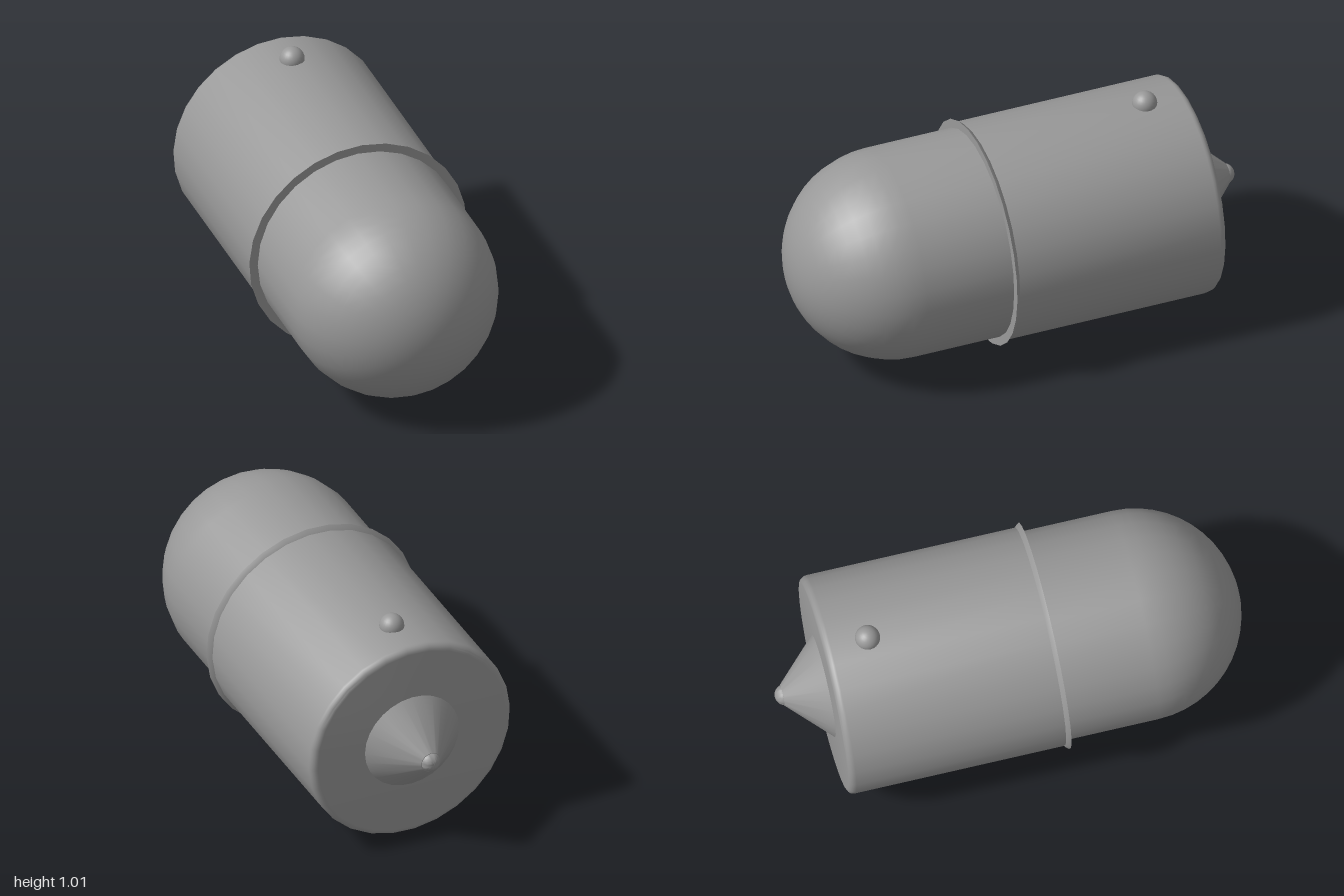
import * as THREE from 'three';
import { toCreasedNormals } from 'three/addons/utils/BufferGeometryUtils.js';

const AXIS_Y = 0.495;
const SIDES = 28;

// Points of a circular arc in the (radius, z) plane
function arc(r, z, radius, from, to, steps) {
  return Array.from({ length: steps + 1 }, (_, i) => {
    const a = from + ((to - from) * i) / steps;
    return [Math.max(0, r + radius * Math.cos(a)), z + radius * Math.sin(a)];
  });
}

// Turned part along z; the profile runs from back to front
function turned(name, profile, material, twist = 0) {
  const points = profile.map(([r, z]) => new THREE.Vector2(r, z));
  const lathe = new THREE.LatheGeometry(points, SIDES);
  const mesh = new THREE.Mesh(toCreasedNormals(lathe, 0.6), material);
  mesh.geometry.rotateX(Math.PI / 2).rotateZ(twist);
  mesh.position.y = AXIS_Y;
  mesh.name = name;
  return mesh;
}

export function createModel() {
  const group = new THREE.Group();
  group.name = 'capsule';
  const grey = new THREE.MeshStandardMaterial({ color: 0x999999 });
  grey.name = 'grey';
  const H = Math.PI / 2;

  // Domed front section
  group.add(turned('dome', [[0.45, 0.1], ...arc(0, 0.55, 0.45, 0, H, 12)], grey));

  // Main barrel with a rounded rear edge
  group.add(turned('barrel', [
    [0, -0.79],
    ...arc(0.44, -0.76, 0.03, -H, 0, 5),
    [0.47, 0.15],
  ], grey, -0.04));

  // Flared rim where the barrel meets the dome
  group.add(turned('rim', [
    [0.465, 0.14], [0.474, 0.145], [0.488, 0.162], [0.44, 0.162],
  ], grey, -0.04));

  // Rear cone and its rounded tip
  group.add(turned('rearCone', [[0.22, -0.79], [0.045, -0.968], [0, -0.968]].reverse(), grey));
  group.add(turned('coneTip', arc(0, -0.955, 0.045, -H, H, 14), grey));

  // Small button on top
  const button = new THREE.Mesh(new THREE.SphereGeometry(0.053, 24, 16), grey);
  button.name = 'button';
  button.position.set(0, 0.965, -0.6);
  group.add(button);

  return group;
}
